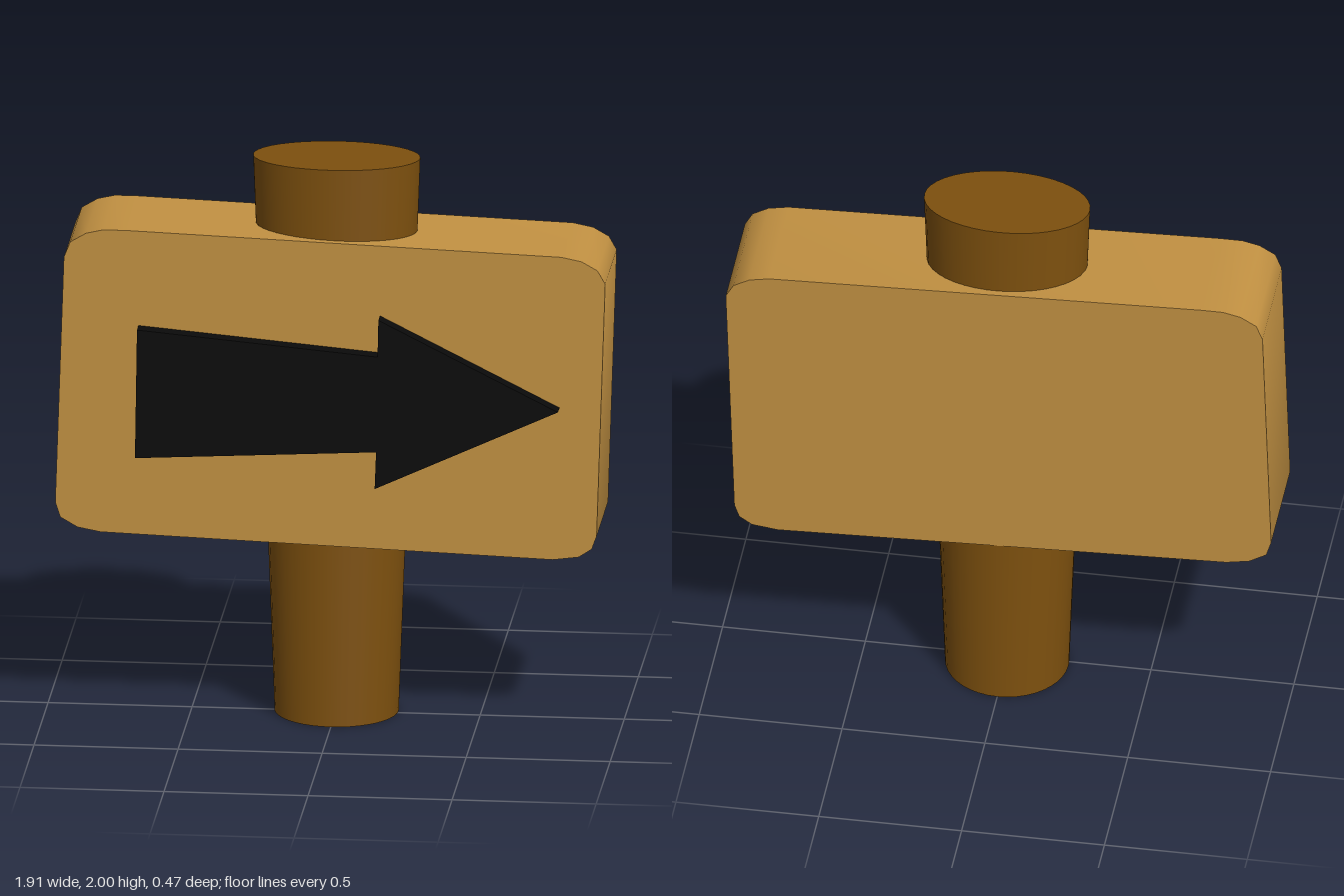
import * as THREE from 'three';
import { toCreasedNormals } from 'three/addons/utils/BufferGeometryUtils.js';

const paint = (name, color) => {
  const material = new THREE.MeshStandardMaterial({ color });
  material.name = name;
  return material;
};

// Extrude a front outline between two depths
function slab(name, outline, back, front, material) {
  const shape = new THREE.Shape(outline.map(([x, y]) => new THREE.Vector2(x, y)));
  const extruded = new THREE.ExtrudeGeometry(shape, { depth: front - back, bevelEnabled: false });
  const geometry = toCreasedNormals(extruded.translate(0, 0, back), 0.75);
  const mesh = new THREE.Mesh(geometry, material);
  mesh.name = name;
  return mesh;
}

export function createModel() {
  const group = new THREE.Group();
  group.name = 'signpost';
  const lightWood = paint('lightWood', 0xc29142);
  const darkWood = paint('darkWood', 0x7d500e);
  const black = paint('blackPaint', 0x0a0a0a);

  // Post: round at the foot, widening to a flat oval at the top
  const postGeometry = new THREE.CylinderGeometry(1, 1, 2, 40);
  const p = postGeometry.attributes.position;
  for (let i = 0; i < p.count; i++) {
    const t = (p.getY(i) + 1) / 2;
    p.setXYZ(i,
      p.getX(i) * THREE.MathUtils.lerp(0.215, 0.29, t),
      t * 2,
      p.getZ(i) * THREE.MathUtils.lerp(0.213, 0.173, t) - 0.022);
  }
  const post = new THREE.Mesh(toCreasedNormals(postGeometry, 0.75), darkWood);
  post.name = 'post';
  group.add(post);

  // Board: slightly crooked, with rounded corners
  group.add(slab('board', [
    [-0.80, 0.68], [0.77, 0.626], [0.86, 0.638], [0.905, 0.668], [0.922, 0.715],
    [0.952, 1.627], [0.925, 1.675], [0.87, 1.706], [0.80, 1.72],
    [-0.71, 1.772], [-0.79, 1.772], [-0.85, 1.758], [-0.905, 1.725], [-0.927, 1.67],
    [-0.957, 0.784], [-0.94, 0.73], [-0.88, 0.695],
  ], -0.225, 0.185, lightWood));

  // Raised arrow
  group.add(slab('arrow', [
    [-0.675, 0.967], [0.162, 1.013], [0.157, 0.88], [0.793, 1.176],
    [0.17, 1.49], [0.167, 1.357], [-0.668, 1.43],
  ], 0.18, 0.24, black));

  return group;
}
